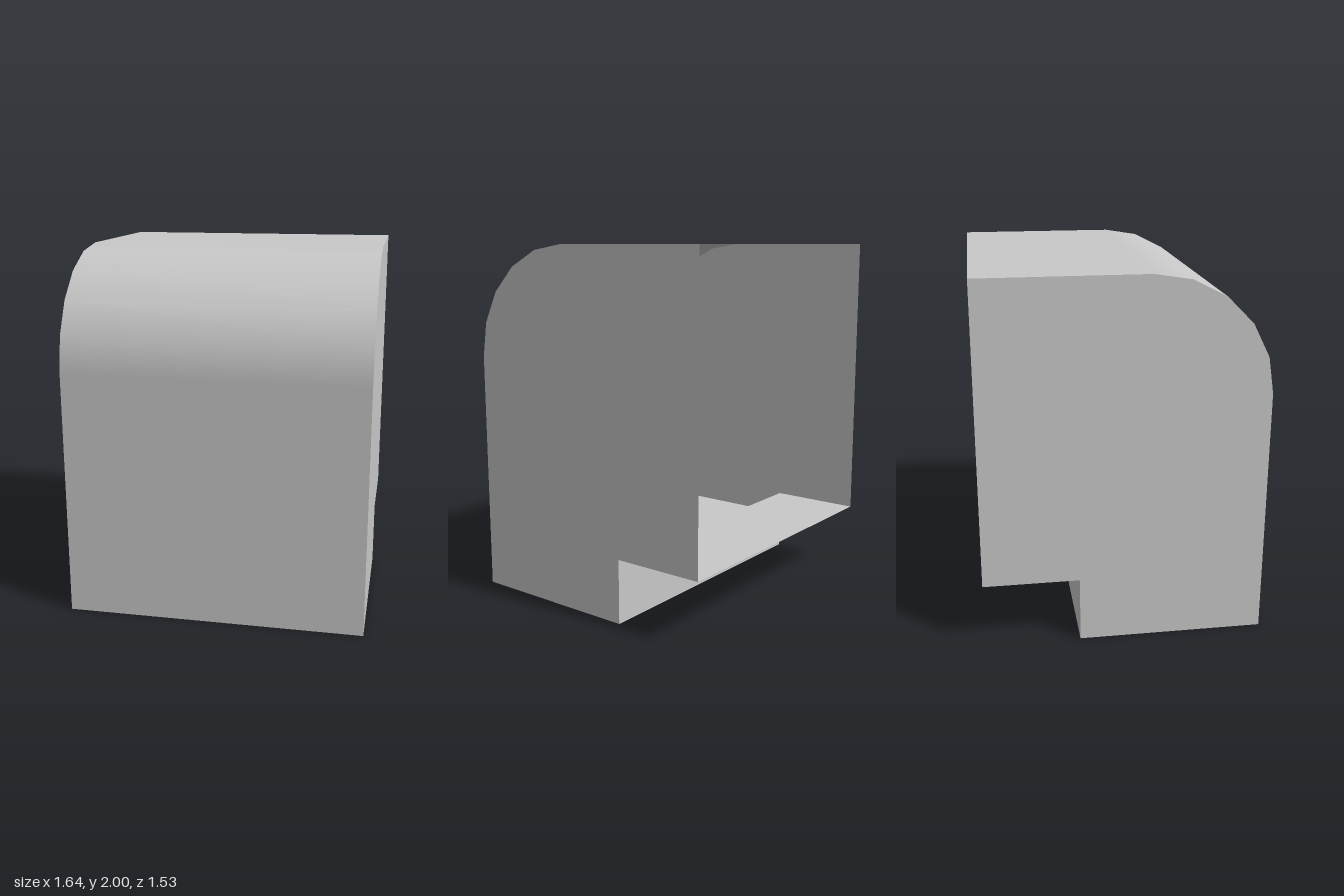
import * as THREE from 'three';

const W = 0.82;          // half width
const FRONT = 0.765, BACK = -0.765;
const STEP_Z = -0.245, STEP_Y = 0.36;
const TOP = 2, R = 0.635, SEG = 5;
const RIM = 0.06, POCKET = 0.245;

export function createModel() {
  const group = new THREE.Group();
  const grey = new THREE.MeshStandardMaterial({ color: 0xc8c8c8, side: THREE.DoubleSide });
  grey.name = 'light grey';

  const add = (name, geometry) => {
    const mesh = new THREE.Mesh(geometry, grey);
    mesh.name = name;
    group.add(mesh);
  };
  // flat rectangle, turned about x then y, then moved into place
  const panel = (name, w, h, x, y, z, rx = 0, ry = 0) =>
    add(name, new THREE.PlaneGeometry(w, h).rotateX(rx).rotateY(ry).translate(x, y, z));

  const cz = FRONT - R, cy = TOP - R, half = Math.PI / 2;

  // side walls: outline with rounded front top corner and a rear step
  const outline = [[BACK, STEP_Y], [STEP_Z, STEP_Y], [STEP_Z, 0], [FRONT, 0]];
  for (let i = 0; i <= SEG; i++) {
    const a = (i / SEG) * half;
    outline.push([cz + R * Math.cos(a), cy + R * Math.sin(a)]);
  }
  outline.push([BACK, TOP]);
  for (const s of [-1, 1]) {
    const shape = new THREE.Shape(outline.map(([z, y]) => new THREE.Vector2(-s * z, y)));
    add(s > 0 ? 'leftWall' : 'rightWall',
      new THREE.ShapeGeometry(shape).rotateY(s * half).translate(s * W, 0, 0));
  }

  // front, smooth rounded corner and top
  panel('frontWall', 2 * W, cy, 0, cy / 2, FRONT);
  add('roundedCorner',
    new THREE.CylinderGeometry(R, R, 2 * W, SEG, 1, true, 0, half).rotateZ(half).translate(0, cy, cz));
  panel('topWall', 2 * W, cz - BACK, 0, TOP, (cz + BACK) / 2, -half);

  // rear step
  panel('stepLedge', 2 * W, STEP_Z - BACK, 0, STEP_Y, (STEP_Z + BACK) / 2, half);
  panel('stepWall', 2 * W, STEP_Y, 0, STEP_Y / 2, STEP_Z, 0, Math.PI);

  // bottom rim around the pocket
  const rect = (Kind, x, z0, z1) => new Kind([[-x, z0], [x, z0], [x, z1], [-x, z1]]
    .map(([a, b]) => new THREE.Vector2(a, b)));
  const px = W - RIM, z0 = STEP_Z + RIM, z1 = FRONT - RIM, mid = (z0 + z1) / 2;
  const rim = rect(THREE.Shape, W, STEP_Z, FRONT);
  rim.holes.push(rect(THREE.Path, px, z0, z1));
  add('bottomRim', new THREE.ShapeGeometry(rim).rotateX(half));

  // pocket recessed into the base
  panel('pocketCeiling', 2 * px, z1 - z0, 0, POCKET, mid, half);
  panel('pocketBack', 2 * px, POCKET, 0, POCKET / 2, z0);
  panel('pocketFront', 2 * px, POCKET, 0, POCKET / 2, z1, 0, Math.PI);
  for (const s of [-1, 1])
    panel(s > 0 ? 'pocketLeft' : 'pocketRight', z1 - z0, POCKET, s * px, POCKET / 2, mid, 0, -s * half);

  return group;
}
